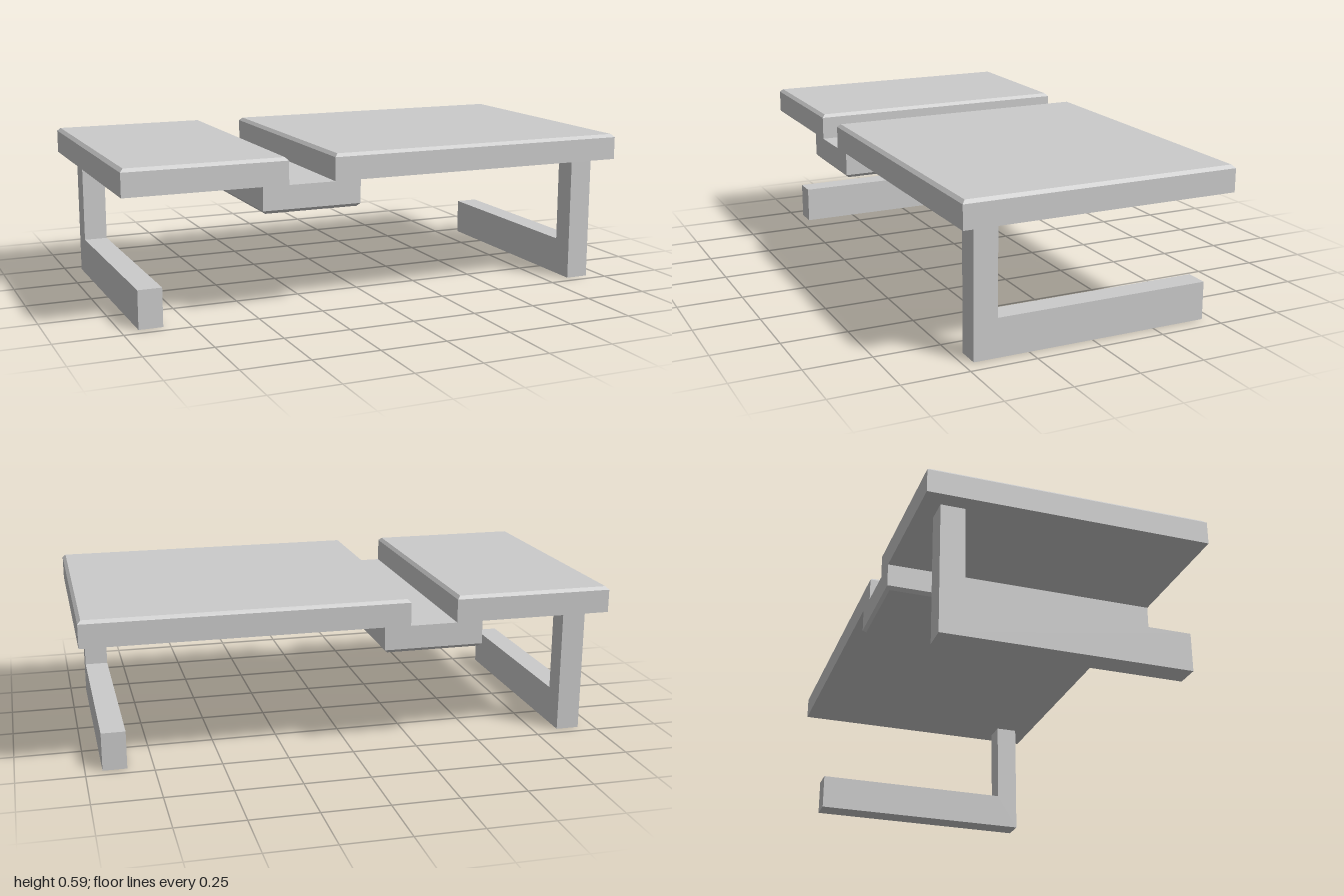
import * as THREE from 'three';

const material = new THREE.MeshStandardMaterial({ color: 0xcccccc, flatShading: true });
const DEPTH = 1.054, BEVEL = 0.012;

function add(group, name, geometry) {
  const mesh = new THREE.Mesh(geometry, material);
  mesh.name = name;
  group.add(mesh);
  return mesh;
}

// Extrude a closed outline, centred along its depth
function extrude(points, depth) {
  const shape = new THREE.Shape(points.map(([x, y]) => new THREE.Vector2(x, y)));
  return new THREE.ExtrudeGeometry(shape, { depth, bevelEnabled: false }).translate(0, 0, -depth / 2);
}

// Thin chamfered layer; side = 1 tapers upward, -1 downward
function chamfer(x0, x1, y, side) {
  const w = x1 - x0;
  const geometry = new THREE.BoxGeometry(w, BEVEL, DEPTH);
  const p = geometry.attributes.position;
  for (let i = 0; i < p.count; i++) {
    if (p.getY(i) * side > 0) {
      p.setX(i, p.getX(i) * (1 - 2 * BEVEL / w));
      p.setZ(i, p.getZ(i) * (1 - 2 * BEVEL / DEPTH));
    }
  }
  geometry.computeVertexNormals();
  return geometry.translate((x0 + x1) / 2, y + side * BEVEL / 2, 0);
}

export function createModel() {
  const group = new THREE.Group();
  group.name = 'coffeeTable';

  // Tabletop with a sunken channel across its depth
  const top = 0.59 - BEVEL, mid = 0.49, low = 0.39 + BEVEL;
  add(group, 'tabletop', extrude([
    [-1, mid], [-0.49, mid], [-0.49, low], [-0.11, low], [-0.11, mid], [1, mid],
    [1, top], [-0.21, top], [-0.21, mid], [-0.39, mid], [-0.39, top], [-1, top],
  ], DEPTH));

  // Chamfered edges of the two top panels and the channel underside
  add(group, 'smallPanelTop', chamfer(-1, -0.39, top, 1));
  add(group, 'largePanelTop', chamfer(-0.21, 1, top, 1));
  add(group, 'channelUnderside', chamfer(-0.49, -0.11, low, -1));

  // L-shaped legs: the left upright is at the front, the right one at the back
  const legGeometry = extrude([
    [-0.46, 0], [0.46, 0], [0.46, 0.145], [-0.37, 0.145], [-0.37, mid], [-0.46, mid],
  ], 0.09);
  for (const side of [1, -1]) {
    const leg = add(group, side > 0 ? 'leftLeg' : 'rightLeg', legGeometry);
    leg.position.x = side * 0.892;
    leg.rotation.y = side * Math.PI / 2;
  }
  return group;
}
